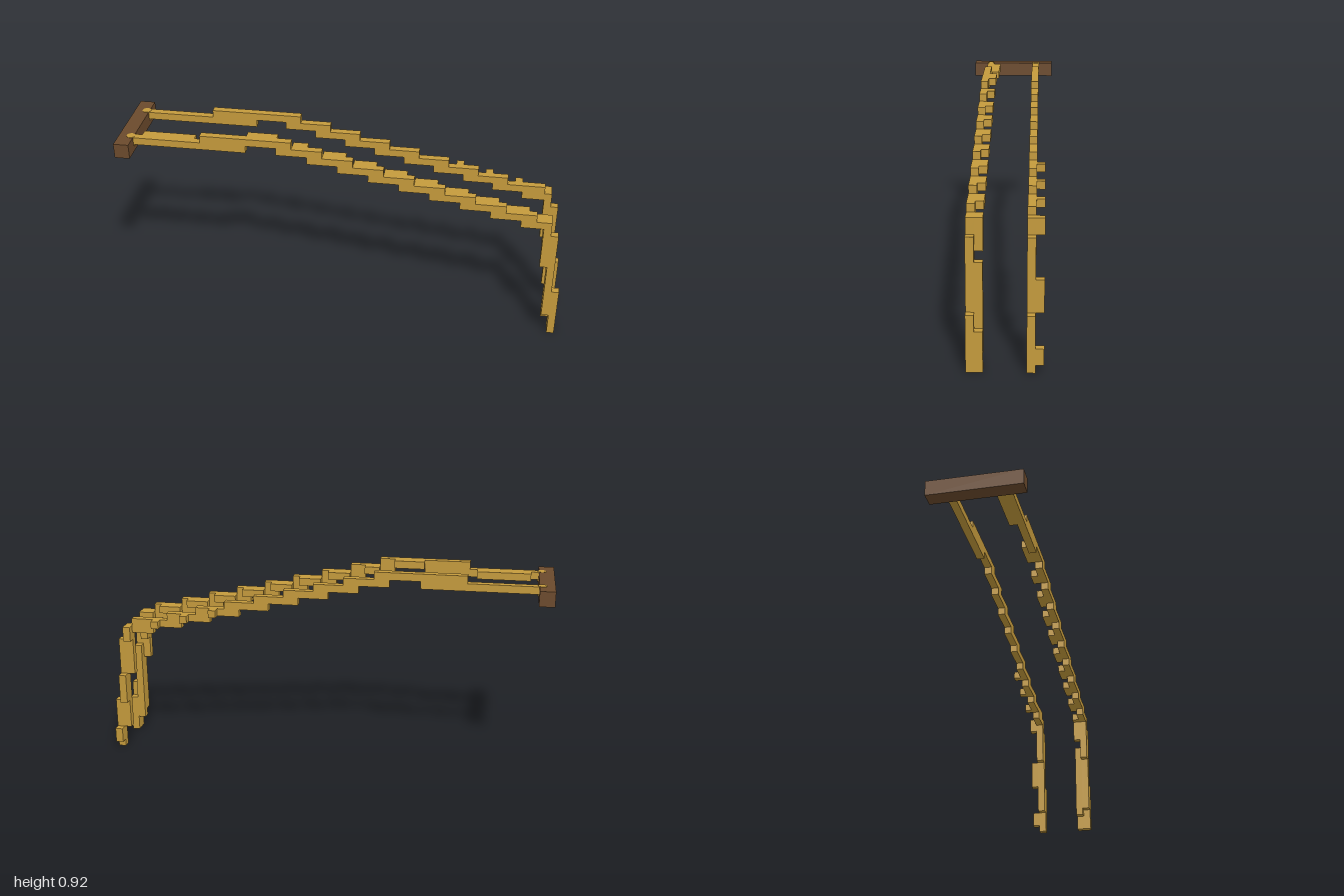
import * as THREE from 'three';

const U = 2 / 59; // one block

export function createModel() {
  const model = new THREE.Group();
  const rope = new THREE.MeshStandardMaterial({ color: 0xc49a3c });
  rope.name = 'straw rope';
  const wood = new THREE.MeshStandardMaterial({ color: 0x6b4a2c });
  wood.name = 'dark wood';

  // Box between block coordinates: x counted from the bar end, y from the ground
  function block(parent, name, mat, x0, x1, y0, y1, z0, z1) {
    const geo = new THREE.BoxGeometry((x1 - x0) * U, (y1 - y0) * U, (z1 - z0) * U);
    const mesh = new THREE.Mesh(geo, mat);
    mesh.name = name;
    mesh.position.set(-1 + U * (x0 + x1) / 2, U * (y0 + y1) / 2, U * (z0 + z1) / 2);
    parent.add(mesh);
  }

  block(model, 'crossBar', wood, 0, 2, 24, 26, -6, 6);

  // One stepped strand: sloping rows, then the hanging columns
  function strand(name, z, lastRowEnd) {
    const group = new THREE.Group();
    group.name = name;
    model.add(group);
    const run = (x0, x1, y0, y1) => block(group, 'ropeRun', rope, x0, x1, y0, y1, z, z + 1);
    run(1.5, 17, 25, 26);
    run(11, 23, 26, 27);
    for (let i = 0; i < 7; i++) run(21 + 4 * i, 27 + 4 * i, 25 - i, 26 - i);
    run(49, lastRowEnd, 18, 19);
    run(53, 57, 17, 18);
    run(56, 57, 11, 18);
    run(57, 58, 3, 16);
    run(58, 59, 0, 7);

    // Round knot where the strand meets the bar
    const knot = new THREE.Mesh(new THREE.CylinderGeometry(0.02, 0.02, 1.3 * U, 16), rope);
    knot.name = 'knot';
    knot.position.set(-0.945, 25.4 * U, (z + 0.5) * U);
    group.add(knot);
    return group;
  }

  // Bulges beside the front strand
  const front = strand('frontRope', 3, 55);
  const bulgeF = (x0, x1, y0, y1) => block(front, 'ropeBulge', rope, x0, x1, y0, y1, 2, 3);
  bulgeF(3, 10, 25, 26);
  bulgeF(17, 21, 26, 27);
  bulgeF(23, 25, 25, 26);
  for (let i = 0; i < 7; i++) bulgeF(27 + 4 * i, 30 + 4 * i, 24 - i, 25 - i);
  bulgeF(55, 57, 17, 18);
  bulgeF(56, 57, 14, 17);
  bulgeF(57, 58, 2, 13);
  bulgeF(58, 59, 0, 5);

  // Bulges beside the back strand
  const back = strand('backRope', -4, 56);
  const bulgeB = (x0, x1, y0, y1) => block(back, 'ropeBulge', rope, x0, x1, y0, y1, -5, -4);
  for (let i = 0; i < 3; i++) bulgeB(44 + 4 * i, 45 + 4 * i, 20 - i, 21 - i);
  bulgeB(56, 57, 16, 18);
  bulgeB(57, 58, 7, 11);
  bulgeB(58, 59, 1, 3);

  return model;
}
